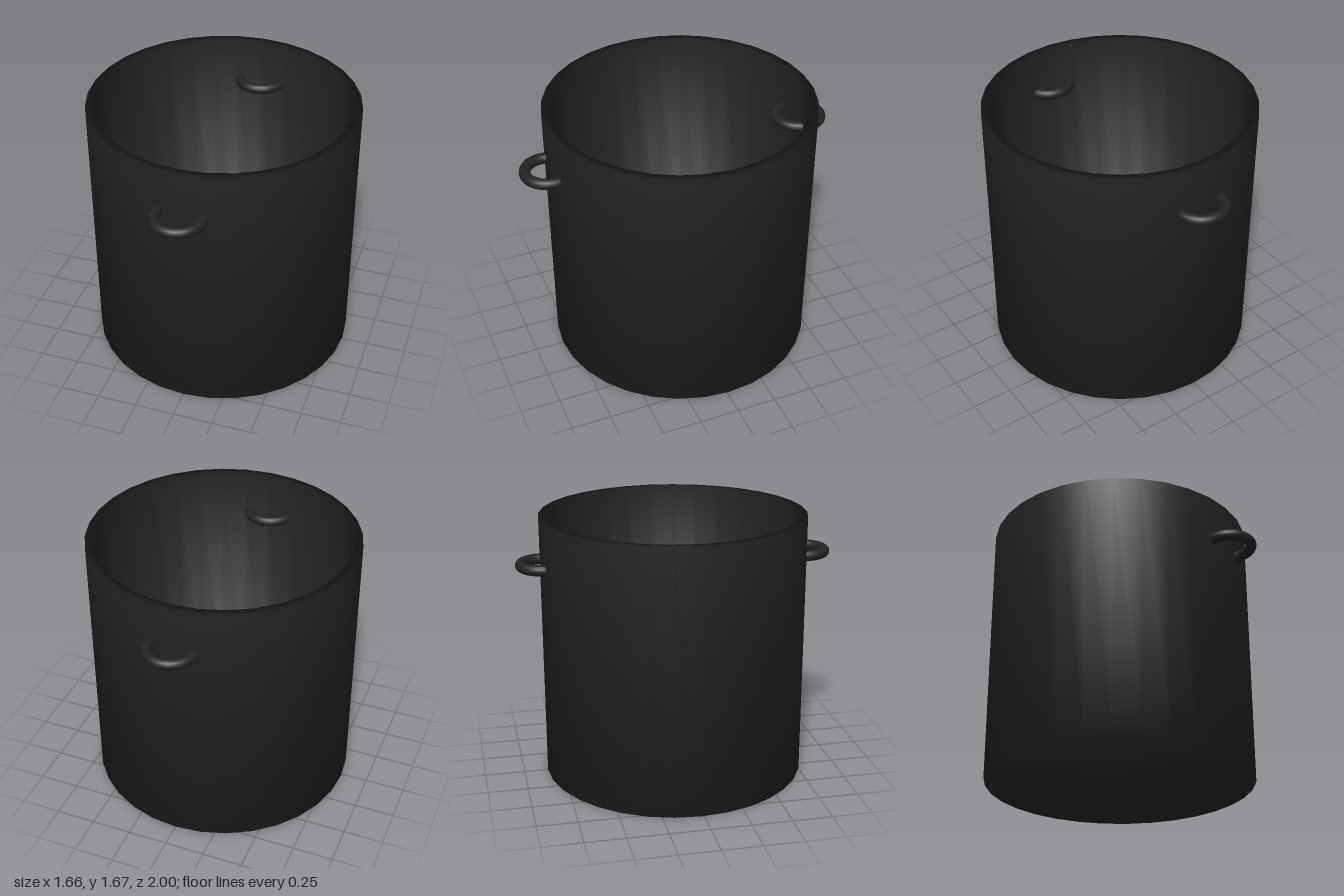
import * as THREE from 'three';

export function createModel() {
  const group = new THREE.Group();
  const blackEnamel = new THREE.MeshStandardMaterial({ color: 0x232323 });
  blackEnamel.name = 'blackEnamel';

  // Open pot: one smooth profile from outer base, over the rim, to inner floor
  const radius = 0.832, inner = 0.78, height = 1.67, floor = 0.05;
  const profile = [
    [0, 0], [radius, 0], [radius, height], [inner, height], [inner, floor], [0, floor],
  ].map(([x, y]) => new THREE.Vector2(x, y));
  const pot = new THREE.Mesh(new THREE.LatheGeometry(profile, 32), blackEnamel);
  pot.name = 'pot';
  pot.position.z = -0.016;
  group.add(pot);

  // Ring handles passing through the front and back walls
  const ring = new THREE.TorusGeometry(0.14, 0.034, 16, 48).rotateX(Math.PI / 2);
  for (const [name, side] of [['frontHandle', 1], ['backHandle', -1]]) {
    const handle = new THREE.Mesh(ring, blackEnamel);
    handle.name = name;
    handle.position.set(0, 1.383, side * 0.826);
    group.add(handle);
  }
  return group;
}
